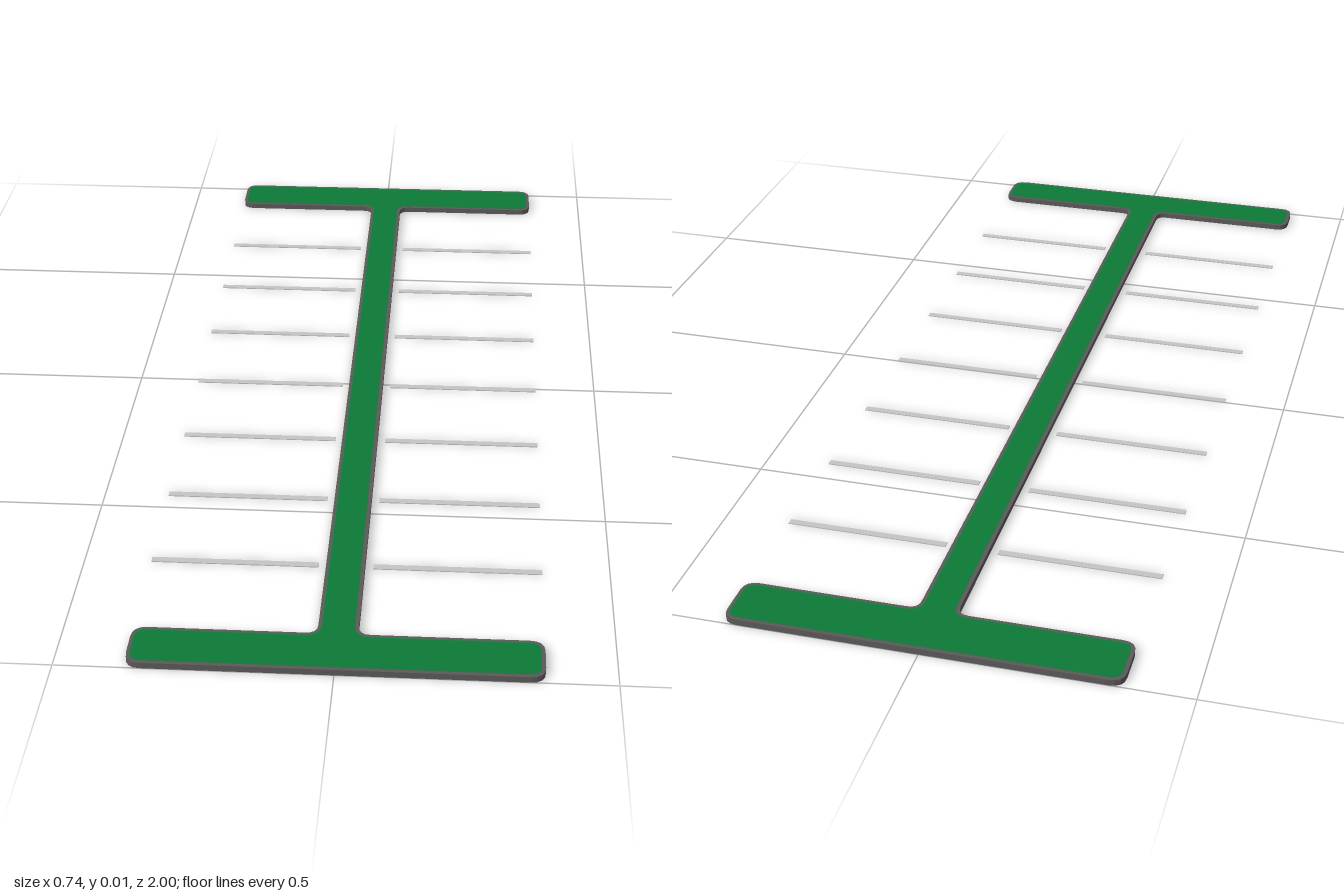
import * as THREE from 'three';

const HEIGHT = 0.012;
const RIM = 0.007;

// I-shaped island outline with rounded corners, shrunk by an inset
function trace(path, inset) {
  const w = 0.372 - inset, s = 0.037 - inset;
  const back = 1 - inset, backIn = 0.885 + inset;
  const front = -1 + inset, frontIn = -0.898 - inset;
  const right = [[w, front], [w, frontIn], [s, frontIn], [s, backIn], [w, backIn], [w, back]];
  const left = right.map(([x, y]) => [-x, y]).reverse();
  const pts = [...right, ...left].map(([x, y]) => new THREE.Vector2(x, y));
  pts.forEach((p, i) => {
    const inner = Math.abs(p.x) < 0.1;
    const r = inner ? 0.022 + inset : 0.028 - inset;
    const toward = (q) => p.clone().add(q.clone().sub(p).setLength(r));
    const a = toward(pts[(i + pts.length - 1) % pts.length]);
    const b = toward(pts[(i + 1) % pts.length]);
    if (i === 0) path.moveTo(a.x, a.y);
    else path.lineTo(a.x, a.y);
    path.quadraticCurveTo(p.x, p.y, b.x, b.y);
  });
  path.closePath();
  return path;
}

function slab(shape) {
  const geometry = new THREE.ExtrudeGeometry(shape, { depth: HEIGHT, bevelEnabled: false, curveSegments: 4 });
  return geometry.rotateX(-Math.PI / 2);
}

export function createModel() {
  const group = new THREE.Group();
  const material = (name, color) => {
    const m = new THREE.MeshStandardMaterial({ color });
    m.name = name;
    return m;
  };
  const grass = material('grass green', 0x0c7a38);
  const curbGrey = material('curb grey', 0x5c5959);
  const paint = material('line grey', 0xc4c4c4);

  const add = (name, geometry, mat) => {
    const mesh = new THREE.Mesh(geometry, mat);
    mesh.name = name;
    group.add(mesh);
    return mesh;
  };

  // Curb running round the planted island
  const curbShape = trace(new THREE.Shape(), 0);
  curbShape.holes.push(trace(new THREE.Path(), RIM));
  add('curb', slab(curbShape), curbGrey);

  // Grass filling the curb
  add('grass', slab(trace(new THREE.Shape(), RIM)), grass);

  // Parking bay lines on both sides of the stem
  const lineGeometry = new THREE.BoxGeometry(0.32, 0.002, 0.014);
  for (let i = 0; i < 7; i++) {
    for (const side of [-1, 1]) {
      const line = add('bayLine', lineGeometry, paint);
      line.position.set(side * 0.212, 0.001, -0.665 + i * 0.2237);
    }
  }
  return group;
}
